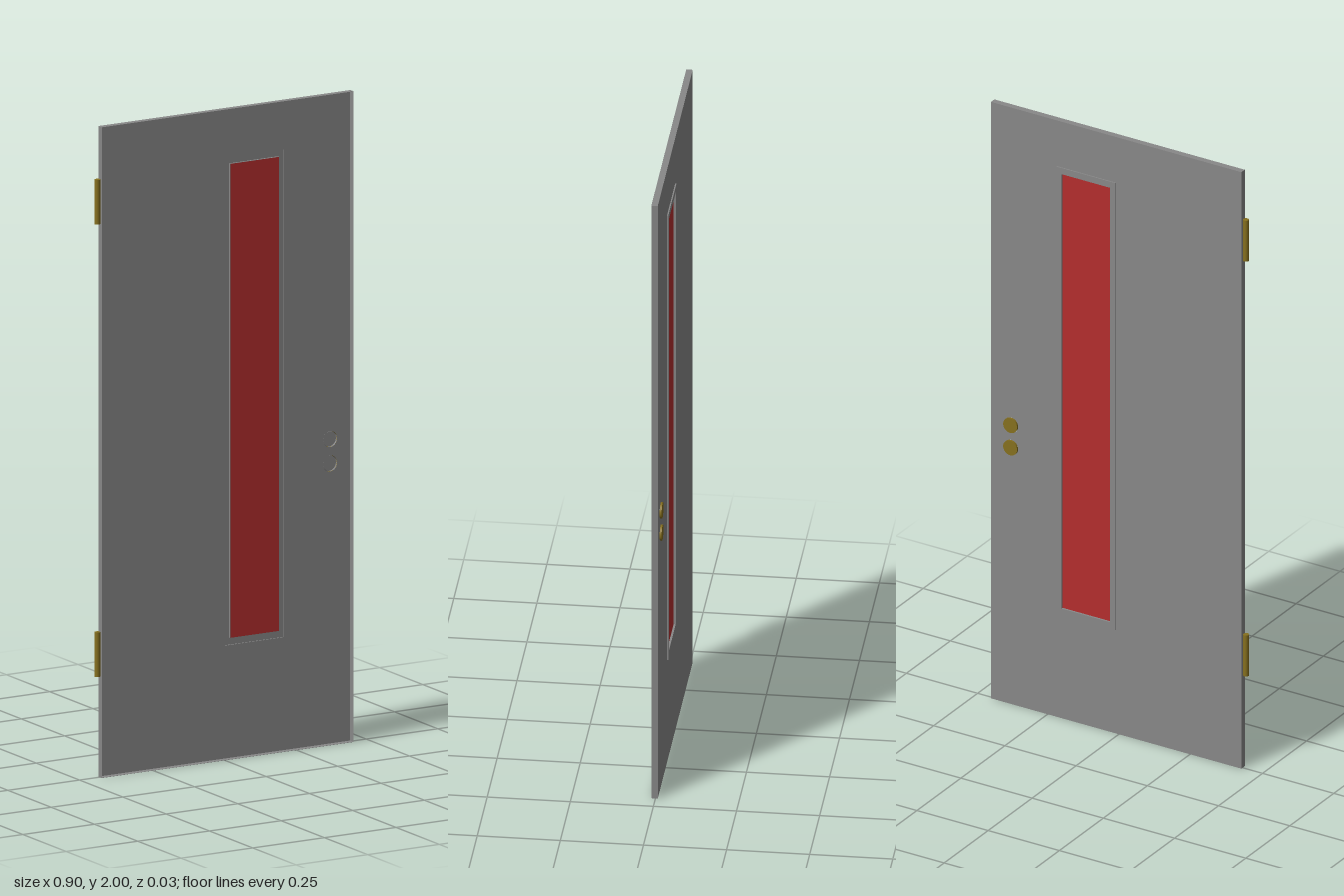
import * as THREE from 'three';
import { mergeGeometries } from 'three/addons/utils/BufferGeometryUtils.js';

const grey = new THREE.MeshStandardMaterial({ color: 0x888888, side: THREE.DoubleSide });
const red = new THREE.MeshStandardMaterial({ color: 0xb42e2e, side: THREE.DoubleSide });
const brass = new THREE.MeshStandardMaterial({ color: 0x86701f, side: THREE.DoubleSide });

// Depths of the pressed sheet, and its thickness
const FRONT = 0.0125, PANE_Z = -0.004, BACK = -0.007, TRIM_BACK = -0.011, KNOB_BACK = -0.013;
const T = 0.0006;

// Rectangles as [x0, x1, y0, y1]
const LEAF = [-0.43, 0.449, 0, 2];
const TRIM = [0.011, 0.218, 0.347, 1.847];
const PANE = [0.028, 0.199, 0.369, 1.827];
const KNOB = { x: 0.378, r: 0.0245, ys: [0.861, 0.936] };

const trace = (path, [x0, x1, y0, y1]) =>
  path.moveTo(x0, y0).lineTo(x1, y0).lineTo(x1, y1).lineTo(x0, y1).closePath();
const rectHole = (rect) => trace(new THREE.Path(), rect);
const inset = ([x0, x1, y0, y1]) => [x0 + T, x1 - T, y0 + T, y1 - T];

// Rectangular plate with holes, between two depths
function plate(rect, holes, z0, z1) {
  const shape = trace(new THREE.Shape(), rect);
  shape.holes.push(...holes);
  return new THREE.ExtrudeGeometry(shape, { depth: z1 - z0, bevelEnabled: false, curveSegments: 32 })
    .translate(0, 0, z0);
}

// Thin upright wall around a rectangle
const wall = (rect, z0, z1) => plate(rect, [rectHole(inset(rect))], z0, z1);

// Shallow round cup, open to the front
function cup(r, zBack) {
  const side = new THREE.CylinderGeometry(r, r, BACK - zBack, 32, 1, true)
    .rotateX(Math.PI / 2).translate(0, 0, (BACK + zBack) / 2);
  const base = new THREE.CircleGeometry(r, 32).rotateY(Math.PI).translate(0, 0, zBack);
  return mergeGeometries([side, base]);
}

export function createModel() {
  const door = new THREE.Group();
  door.name = 'door';
  const add = (name, geometry, material, x = 0, y = 0, z = 0) => {
    const mesh = new THREE.Mesh(geometry, material);
    mesh.name = name;
    mesh.position.set(x, y, z);
    door.add(mesh);
  };

  // Door leaf: a back sheet and a rim, open to the front
  const knobHoles = KNOB.ys.map((y) => new THREE.Path().absarc(KNOB.x, y, KNOB.r, 0, Math.PI * 2));
  add('leafSheet', plate(LEAF, [rectHole(TRIM), ...knobHoles], BACK, BACK + T), grey);
  add('leafRim', wall(LEAF, BACK, FRONT), grey);

  // Window trim pressed out to the back, with the pane set forward inside it
  add('trimFace', plate(TRIM, [rectHole(PANE)], TRIM_BACK, TRIM_BACK + T), grey);
  add('trimEdge', wall(TRIM, TRIM_BACK, BACK), grey);
  add('paneEdge', wall(PANE, TRIM_BACK, PANE_Z), grey);
  add('windowPane', plate(inset(PANE), [], PANE_Z - T, PANE_Z), red);

  // Hinge barrels along the edge
  const hinge = new THREE.CylinderGeometry(0.009, 0.009, 0.137, 24);
  for (const [name, y] of [['lowerHinge', 0.38], ['upperHinge', 1.771]])
    add(name, hinge, brass, -0.44, y, 0.0035);

  // Round lock plates on the back, lined in grey towards the front
  const lockPlate = cup(KNOB.r, KNOB_BACK);
  const lining = cup(KNOB.r - T, KNOB_BACK + T);
  for (const y of KNOB.ys) {
    add('lockPlate', lockPlate, brass, KNOB.x, y);
    add('lockPlateLining', lining, grey, KNOB.x, y);
  }
  return door;
}
